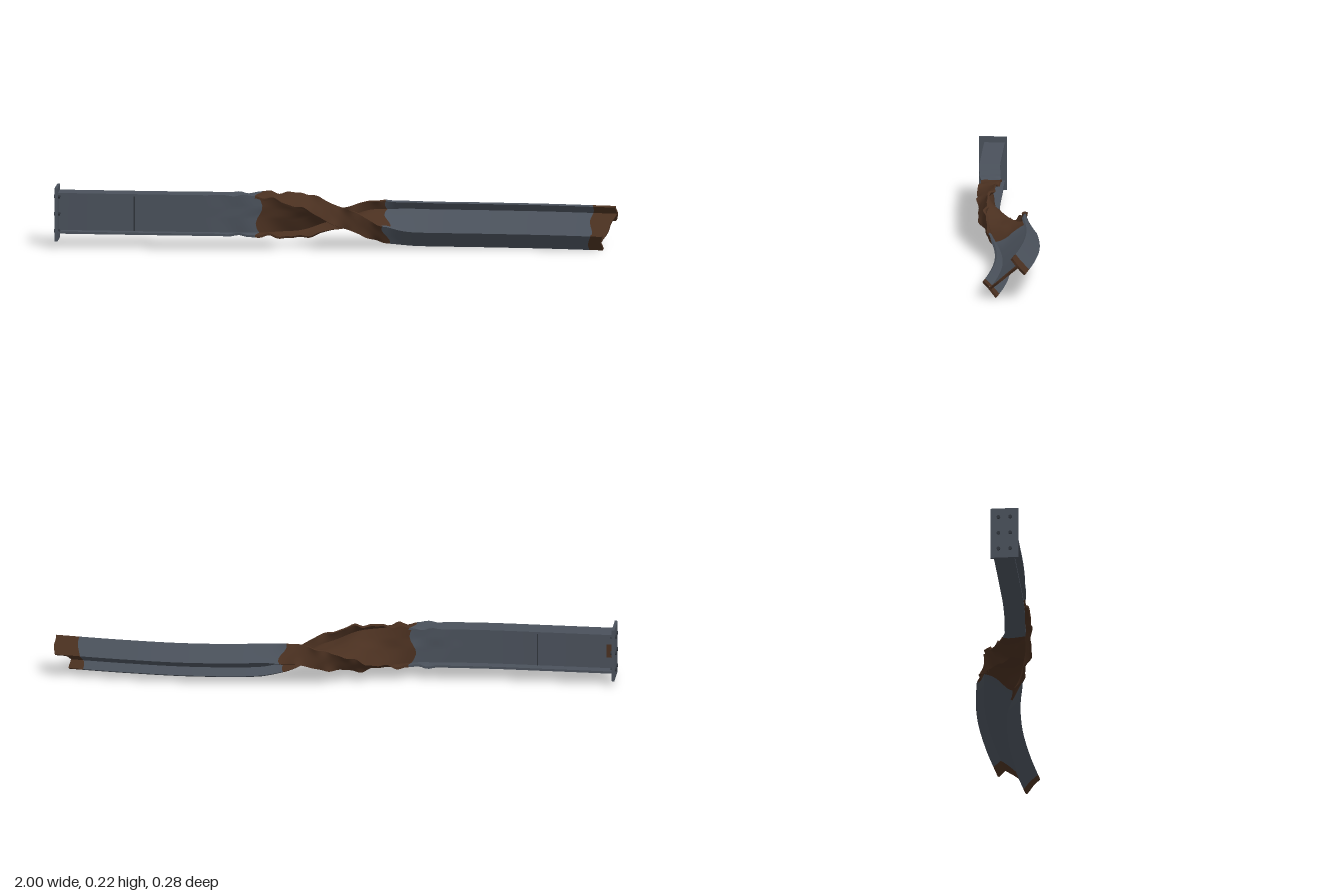
import * as THREE from 'three';
import { mergeGeometries } from 'three/addons/utils/BufferGeometryUtils.js';

const H = 0.147, W = 0.074, TF = 0.008, TW = 0.007; // beam depth, flange width, thicknesses

// Beam axis, keyed at equal steps in x from -1 to 1
const keyY = [0.12, 0.12, 0.12, 0.118, 0.107, 0.079, 0.074, 0.074, 0.074];
const keyZ = [0.083, 0.083, 0.08, 0.06, 0.012, -0.04, -0.06, -0.053, -0.03];
const axis = new THREE.CatmullRomCurve3(
  keyY.map((y, i) => new THREE.Vector3(-1 + i * 0.25, y, keyZ[i])), false, 'catmullrom', 0.5);
const axisPoint = new THREE.Vector3();

// Section point (w across the flange, h along the web) at station x, twisted and buckled
function beamPoint(x, w, h) {
  axis.getPoint(THREE.MathUtils.clamp((x + 1) / 2, 0, 1), axisPoint);
  const a = THREE.MathUtils.degToRad(130) * THREE.MathUtils.smoothstep(x, -0.33, 0.28);
  const buckle = THREE.MathUtils.smoothstep(x, -0.5, -0.2) * (1 - THREE.MathUtils.smoothstep(x, 0.08, 0.28));
  const tip = Math.abs(w) / (W / 2), side = w > 0 ? 1 : 2.3, end = h > 0 ? 0 : 1.7;
  const dh = buckle * 0.005 * tip * tip * (Math.sin(x * 62 + side * 2 + end) + 0.5 * Math.sin(x * 113 + side + end));
  const dw = buckle * 0.004 * Math.sin(x * 38 + end + h * 25);
  w += dw; h += dh;
  return [x, axisPoint.y - w * Math.sin(a) + h * Math.cos(a), axisPoint.z + w * Math.cos(a) + h * Math.sin(a)];
}

// Grid surface; the front faces du x dv
function patch(fn, nu, nv) {
  const pos = [], idx = [];
  for (let i = 0; i <= nu; i++) for (let j = 0; j <= nv; j++) pos.push(...fn(i / nu, j / nv));
  for (let i = 0; i < nu; i++) for (let j = 0; j < nv; j++) {
    const a = i * (nv + 1) + j, b = a + nv + 1;
    idx.push(a, b, b + 1, a, b + 1, a + 1);
  }
  const g = new THREE.BufferGeometry();
  g.setAttribute('position', new THREE.Float32BufferAttribute(pos, 3));
  g.setIndex(idx);
  g.computeVertexNormals();
  return g;
}

// I-section outline, counterclockwise in (w, h)
const hw = W / 2, hh = H / 2, hi = hh - TF, t = TW / 2;
const outline = [
  [-hw, -hh], [hw, -hh], [hw, -hi], [t, -hi], [t, hi], [hw, hi],
  [hw, hh], [-hw, hh], [-hw, hi], [-t, hi], [-t, -hi], [-hw, -hi]];

// One length of beam between two boundaries x = f(w, h)
function beamLength(from, to, n) {
  return mergeGeometries(outline.map((p, k) => {
    const q = outline[(k + 1) % outline.length];
    const size = Math.hypot(q[0] - p[0], q[1] - p[1]);
    return patch((u, v) => {
      const w = p[0] + (q[0] - p[0]) * v, h = p[1] + (q[1] - p[1]) * v;
      return beamPoint(THREE.MathUtils.lerp(from(w, h), to(w, h), u), w, h);
    }, n, size < 0.01 ? 1 : 8);
  }));
}

// Torn end cap: two flanges and the web
function endCap(xEnd) {
  const rects = [[-hw, hw, -hh, -hi], [-hw, hw, hi, hh], [-t, t, -hi, hi]];
  return mergeGeometries(rects.map(([w0, w1, h0, h1]) => patch((u, v) => {
    const w = w0 + (w1 - w0) * v, h = h0 + (h1 - h0) * u;
    return beamPoint(xEnd(w, h), w, h);
  }, 8, 8)));
}

export function createModel() {
  const material = (name, color) => {
    const m = new THREE.MeshStandardMaterial({ color });
    m.name = name;
    return m;
  };
  const steel = material('steel', 0x4a515b);
  const rust = material('rust', 0x4a3020);
  const darkSteel = material('dark steel', 0x30353c);

  const model = new THREE.Group();
  model.name = 'twistedBeam';
  const add = (name, geometry, mat, x = 0, y = 0, z = 0) => {
    const mesh = new THREE.Mesh(geometry, mat);
    mesh.name = name;
    mesh.position.set(x, y, z);
    model.add(mesh);
    return mesh;
  };

  // Boundaries between clean steel and rust
  const start = () => -0.986;
  const rustStart = (w, h) => -0.27 + 0.012 * Math.sin(h * 50 + w * 40);
  const rustEnd = (w, h) => 0.18 + 0.014 * Math.sin(h * 45 - w * 60);
  const tipStart = (w, h) => 0.908 + 0.006 * Math.sin(h * 55 + w * 50);
  const tear = (w, h) => 0.974 - 0.023 * h / hh + 0.003 * Math.sin(h * 70 + w * 90);

  // Beam
  add('straightBeam', beamLength(start, rustStart, 50), steel);
  add('twistedRustyBeam', beamLength(rustStart, rustEnd, 80), rust);
  add('bentBeam', beamLength(rustEnd, tipStart, 40), steel);
  add('rustyTip', beamLength(tipStart, tear, 6), rust);
  add('tornEnd', endCap(tear), rust);

  // End plate with bolts on both faces
  const py = 0.117, pz = 0.089;
  add('endPlate', new THREE.BoxGeometry(0.01, 0.193, 0.1), steel, -0.99, py, pz);
  const bolt = new THREE.CylinderGeometry(0.0065, 0.0065, 0.022, 10).rotateZ(Math.PI / 2);
  for (const dy of [-0.062, 0, 0.062]) for (const dz of [-0.021, 0.021])
    add('bolt', bolt, darkSteel, -0.989, py + dy, pz + dz);

  // Web seam and a rust stain beside the plate
  add('webSeam', new THREE.BoxGeometry(0.004, hi * 2, TW + 0.003), darkSteel, -0.715, 0.12, 0.083);
  add('rustStain', new THREE.BoxGeometry(0.018, 0.05, 0.002), rust, -0.972, 0.12, 0.083 - t - 0.0005);

  return model;
}
